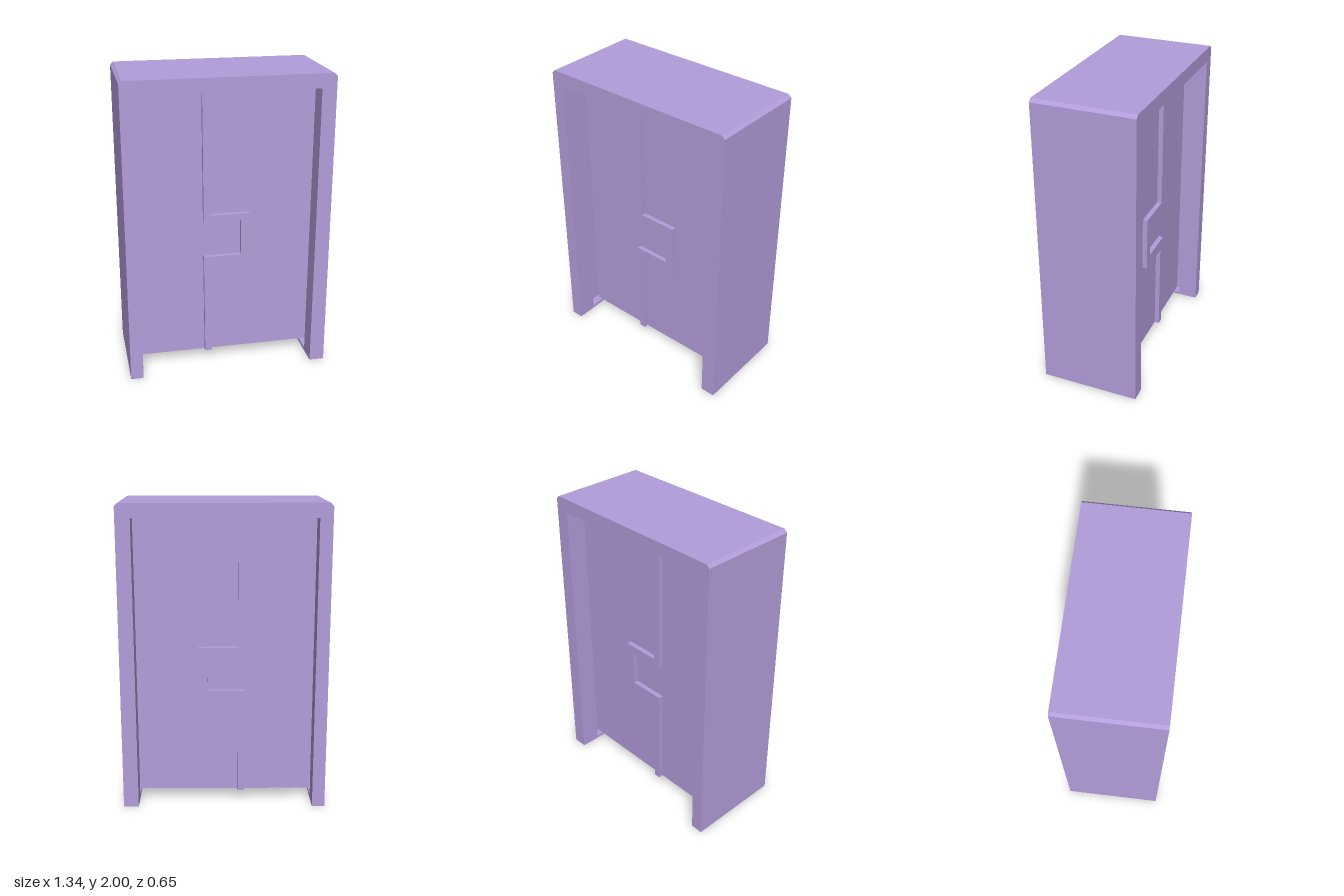
import * as THREE from 'three';

const material = new THREE.MeshStandardMaterial({ color: 0xb39ddb, flatShading: true });

// Extrudes a front outline between two depths
function slab(name, points, zBack, zFront) {
  const shape = new THREE.Shape(points.map(([x, y]) => new THREE.Vector2(x, y)));
  const geometry = new THREE.ExtrudeGeometry(shape, { depth: zFront - zBack, bevelEnabled: false });
  geometry.translate(0, 0, zBack);
  const mesh = new THREE.Mesh(geometry, material);
  mesh.name = name;
  return mesh;
}

export function createModel() {
  const group = new THREE.Group();
  group.name = 'slidingDoorway';

  // Frame: portal outline with clipped top corners
  const outer = [[0.665, 0.005], [0.668, 1.98], [0.648, 2], [-0.65, 2], [-0.67, 1.98], [-0.67, 0]];
  const plain = [...outer, [-0.587, 0], [-0.587, 1.908], [0.573, 1.908], [0.567, 0.005]];
  // Middle layer is hollowed out to leave a door channel in each post
  const grooved = [...outer, [-0.587, 0], [-0.587, 0.02], [-0.647, 0.02], [-0.647, 1.908],
    [0.63, 1.908], [0.63, 0.025], [0.567, 0.025], [0.567, 0.005]];
  const frame = new THREE.Group();
  frame.name = 'frame';
  frame.add(
    slab('frameFront', plain, 0.195, 0.327),
    slab('frameChannel', grooved, -0.195, 0.195),
    slab('frameBack', plain, -0.328, -0.195));
  group.add(frame);

  // Interlocking edges of the two doors, from bottom to top
  const tongue = [[-0.137, 0.065], [-0.142, 0.77], [0.108, 0.77], [0.108, 1.012], [-0.142, 1.012], [-0.146, 1.895]];
  const socket = [[-0.092, 0.065], [-0.092, 0.693], [0.166, 0.693], [0.168, 1.062], [-0.096, 1.062], [-0.096, 1.9]];

  // Door leaves
  group.add(slab('rightDoor', [[-0.587, 0.065], ...tongue, [-0.587, 1.895]], -0.175, 0.13));
  group.add(slab('leftDoor', [...socket, [0.6, 1.902], [0.6, 0.068]].reverse(), -0.175, 0.13));

  // Raised seal running along the joint, proud on both faces
  group.add(slab('doorSeal', [...socket, ...[...tongue].reverse()], -0.207, 0.16));

  return group;
}
